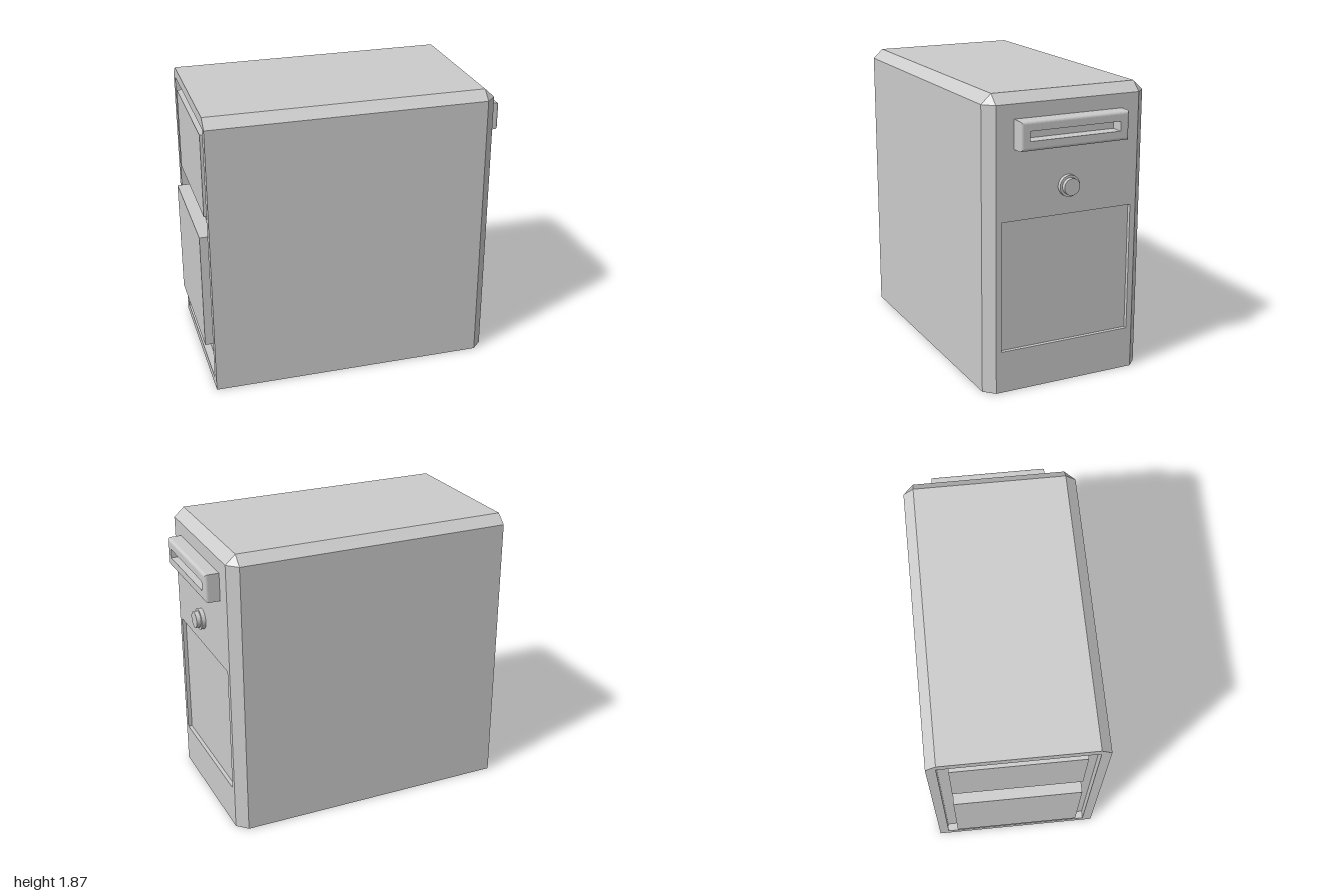
import * as THREE from 'three';

const grey = () => new THREE.MeshStandardMaterial({ color: 0xcccccc, flatShading: true });

// Six-point section across x: flat bottom, vertical sides, chamfered top corners.
function section(x, halfZ, y0, y1, chamferZ = 0, chamferY = 0) {
  return [
    [-halfZ, y0], [-halfZ, y1 - chamferY], [-halfZ + chamferZ, y1],
    [halfZ - chamferZ, y1], [halfZ, y1 - chamferY], [halfZ, y0],
  ].map(([z, y]) => new THREE.Vector3(x, y, z));
}

// Skins consecutive sections and caps both ends, dropping zero-area faces.
function loft(sections) {
  const points = [];
  const tri = (a, b, c) => {
    if (new THREE.Triangle(a, b, c).getArea() > 1e-8) points.push(a, b, c);
  };
  for (let i = 0; i < sections.length - 1; i++) {
    const p = sections[i], q = sections[i + 1], n = p.length;
    for (let k = 0; k < n; k++) {
      const m = (k + 1) % n;
      tri(p[k], p[m], q[m]);
      tri(p[k], q[m], q[k]);
    }
  }
  const first = sections[0], last = sections[sections.length - 1];
  for (let k = 1; k < first.length - 1; k++) {
    tri(first[0], first[k + 1], first[k]);
    tri(last[0], last[k], last[k + 1]);
  }
  const geometry = new THREE.BufferGeometry().setFromPoints(points);
  geometry.computeVertexNormals();
  return geometry;
}

export function createModel() {
  const model = new THREE.Group();
  model.name = 'towerCase';

  const add = (name, geometry, x = 0, y = 0, z = 0) => {
    const mesh = new THREE.Mesh(geometry, grey());
    mesh.name = name;
    mesh.position.set(x, y, z);
    model.add(mesh);
    return mesh;
  };

  // Case shell: recessed back, chamfered body, bevelled face with a sunken panel
  add('caseShell', loft([
    section(-0.91, 0.485, 0.06, 1.8),
    section(-0.96, 0.485, 0.06, 1.8),
    section(-0.96, 0.547, 0, 1.87, 0.065, 0.06),
    section(0.84, 0.547, 0, 1.87, 0.065, 0.06),
    section(0.905, 0.482, 0, 1.81),
    section(0.905, 0.445, 0.27, 1.1),
    section(0.88, 0.445, 0.27, 1.1),
  ]));

  // Drive bay: rounded outer rim with a slot through it
  const bay = [section(0.9, 0.365, 1.54, 1.72)];
  const r = 0.018, steps = 5;
  for (let i = 0; i <= steps; i++) {
    const a = (i / steps) * Math.PI / 2;
    const inset = r * (1 - Math.cos(a));
    bay.push(section(0.996 - r + r * Math.sin(a), 0.365 - inset, 1.54 + inset, 1.72 - inset));
  }
  bay.push(section(0.996, 0.305, 1.6, 1.66), section(0.91, 0.305, 1.6, 1.66));
  add('driveBay', loft(bay));

  // Power button: collar and cap
  const disc = (name, radius, x0, x1) => {
    const geometry = new THREE.CylinderGeometry(radius, radius, x1 - x0, 32).rotateZ(-Math.PI / 2);
    const mesh = add(name, geometry, (x0 + x1) / 2, 1.28, 0);
    mesh.material.flatShading = false;
  };
  disc('buttonCollar', 0.068, 0.9, 0.932);
  disc('buttonCap', 0.053, 0.92, 0.96);

  // Back panels standing in the recess
  const backPanel = (name, x, y0, y1) => {
    const depth = -0.9 - x;
    add(name, new THREE.BoxGeometry(depth, y1 - y0, 0.83), x + depth / 2, (y0 + y1) / 2, 0);
  };
  backPanel('upperBackPanel', -0.965, 1.19, 1.735);
  backPanel('lowerBackPanel', -1, 0.27, 1.05);

  return model;
}
